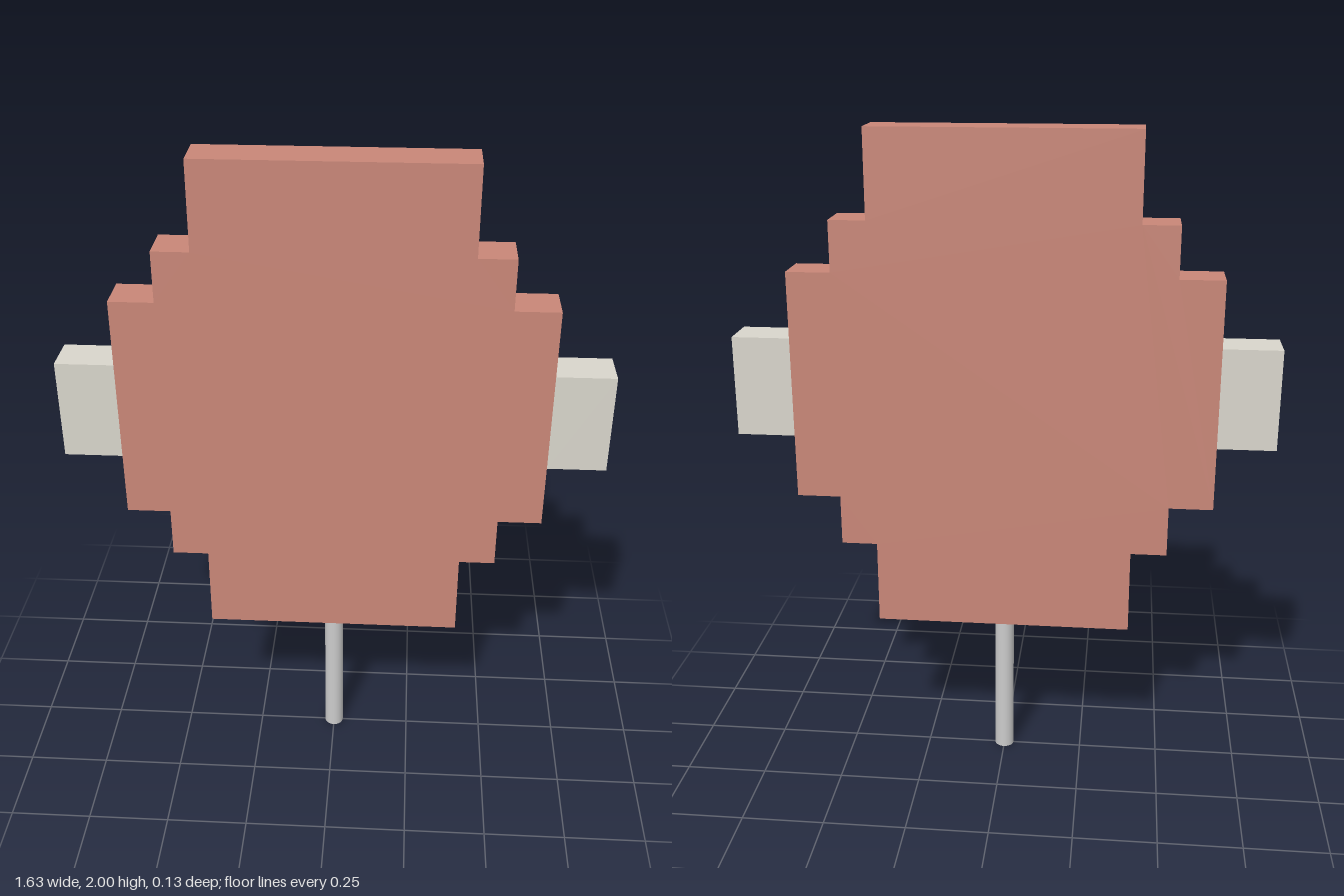
import * as THREE from 'three';

const DEPTH = 0.13;

export function createModel() {
  const model = new THREE.Group();
  const red = new THREE.MeshStandardMaterial({ color: 0xc98778 });
  const cream = new THREE.MeshStandardMaterial({ color: 0xd9d6cc });
  const grey = new THREE.MeshStandardMaterial({ color: 0xcccccc });

  const add = (name, geometry, material, x, y, z) => {
    const mesh = new THREE.Mesh(geometry, material);
    mesh.name = name;
    mesh.position.set(x, y, z);
    model.add(mesh);
  };

  // Stepped sign board: right half of the outline, bottom to top, then mirrored
  const half = [
    [0.395, 0.47], [0.395, 0.73], [0.505, 0.73], [0.505, 0.885], [0.638, 0.885],
    [0.638, 1.585], [0.505, 1.585], [0.505, 1.738], [0.395, 1.738], [0.395, 2],
  ];
  const mirrored = half.map(([x, y]) => [-x, y]).reverse();
  const outline = new THREE.Shape([...half, ...mirrored].map(([x, y]) => new THREE.Vector2(x, y)));
  const board = new THREE.ExtrudeGeometry(outline, { depth: DEPTH, bevelEnabled: false });
  add('board', board, red, 0, 0, -DEPTH / 2);

  // Side tabs, flush with the board's faces
  for (const [name, side] of [['leftTab', 1], ['rightTab', -1]]) {
    add(name, new THREE.BoxGeometry(0.175, 0.305, DEPTH), cream, side * 0.7255, 1.2325, 0);
  }

  // Round post, its top just inside the board
  add('post', new THREE.CylinderGeometry(0.03, 0.03, 0.48, 24), grey, 0, 0.24, 0);

  return model;
}
